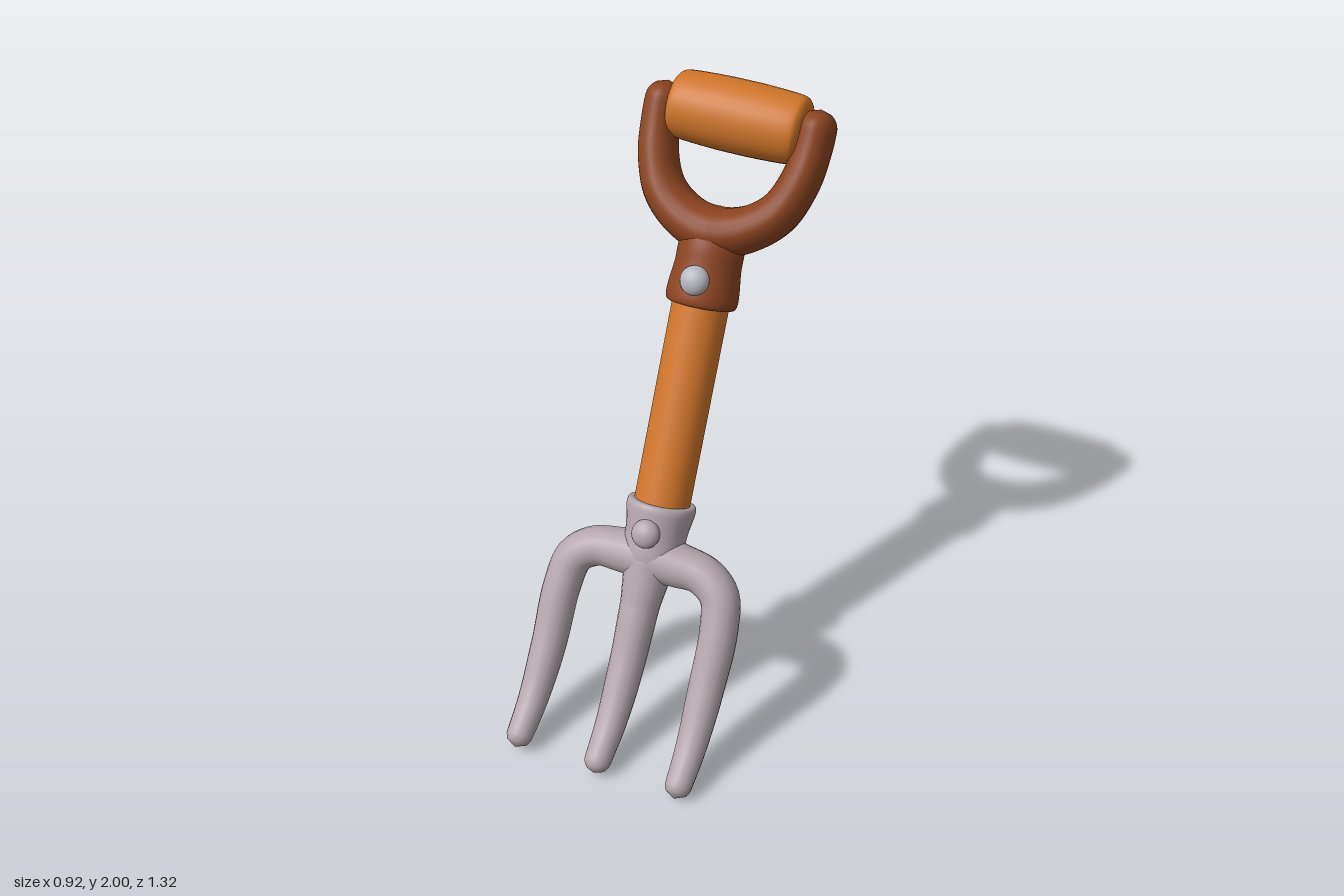
import * as THREE from 'three';
import { mergeVertices } from 'three/addons/utils/BufferGeometryUtils.js';

const mat = (name, color) => {
  const m = new THREE.MeshStandardMaterial({ color });
  m.name = name;
  return m;
};

// Round-ended tube with varying radius; depth stretches its section front to back
function limb(points, radii, depth = 1) {
  const curve = new THREE.CatmullRomCurve3(points.map(p => new THREE.Vector3(...p)));
  const segs = 110, sides = 20, length = curve.getLength();
  const geo = new THREE.TubeGeometry(curve, segs, 1, sides);
  const pos = geo.attributes.position, v = new THREE.Vector3();
  for (let i = 0; i <= segs; i++) {
    const t = i / segs, centre = curve.getPointAt(t);
    const f = t * (radii.length - 1), k = Math.min(Math.floor(f), radii.length - 2);
    let r = THREE.MathUtils.lerp(radii[k], radii[k + 1], f - k);
    const end = Math.min(t, 1 - t) * length;
    if (end < r) r *= Math.sqrt(Math.max(0, 1 - (1 - end / r) ** 2));
    for (let j = 0; j <= sides; j++) {
      const n = i * (sides + 1) + j;
      v.fromBufferAttribute(pos, n).sub(centre).multiplyScalar(r);
      v.z *= depth;
      v.add(centre);
      pos.setXYZ(n, v.x, v.y, v.z);
    }
  }
  geo.deleteAttribute('normal');
  geo.deleteAttribute('uv');
  const merged = mergeVertices(geo, 1e-5);
  merged.computeVertexNormals();
  return merged;
}

// Half a path, listed from the centre outwards, completed by its mirror image
const mirrored = half => [
  ...half.slice(1).reverse().map(([x, y, z]) => [-x, y, z]), ...half];

// Smooth turned part from a few [radius, height] points
function turned(profile) {
  const curve = new THREE.SplineCurve(profile.map(p => new THREE.Vector2(...p)));
  const pts = curve.getPoints(40).map(p => new THREE.Vector2(Math.max(0, p.x), p.y));
  return new THREE.LatheGeometry(pts, 32);
}

export function createModel() {
  const metal = mat('grey metal', 0xb3a6ac);
  const wood = mat('orange wood', 0xd0752a);
  const brown = mat('brown handle', 0x8b4420);
  const rivetMat = mat('rivet silver', 0xb6b6be);

  // Tool is built upright along y, then leaned into its pose
  const tool = new THREE.Group();
  tool.name = 'gardenFork';
  const add = (name, geo, material) => {
    const mesh = new THREE.Mesh(geo, material);
    mesh.name = name;
    tool.add(mesh);
    return mesh;
  };

  // Fork head: outer tines joined by a crossbar, and a middle tine
  const outer = mirrored([
    [0, -0.185, 0.01], [0.1, -0.19, 0.01], [0.19, -0.2, 0.012], [0.257, -0.25, 0.018],
    [0.281, -0.36, 0.026], [0.283, -0.56, 0.044], [0.285, -0.75, 0.092], [0.286, -0.9, 0.178]]);
  add('outerTines', limb(outer,
    [0.042, 0.05, 0.058, 0.062, 0.064, 0.068, 0.085, 0.068, 0.064, 0.062, 0.058, 0.05, 0.042], 1.05), metal);
  add('middleTine', limb([
    [0, -0.06, 0], [0, -0.2, 0.01], [0, -0.36, 0.026], [0, -0.56, 0.044], [0, -0.75, 0.092], [0, -0.9, 0.178]],
    [0.09, 0.085, 0.066, 0.061, 0.057, 0.05, 0.042], 1.05), metal);
  add('forkSocket', turned([
    [0, -0.3], [0.06, -0.27], [0.098, -0.19], [0.103, -0.1], [0.112, -0.04],
    [0.115, -0.012], [0.108, 0.003], [0.085, 0.003]]), metal);

  // Wooden shaft
  const shaft = add('shaft', new THREE.CylinderGeometry(0.093, 0.093, 0.78, 32), wood);
  shaft.position.y = 0.34;

  // Handle: collar, forked arms and cross grip
  add('handleCollar', turned([
    [0.085, 0.662], [0.108, 0.662], [0.117, 0.68], [0.116, 0.72], [0.108, 0.79],
    [0.106, 0.86], [0.085, 0.93], [0, 0.97]]), brown);
  const arms = mirrored([
    [0, 0.9, 0], [0.1, 0.925, -0.002], [0.19, 0.995, -0.006], [0.238, 1.1, -0.012],
    [0.255, 1.21, -0.02], [0.256, 1.335, -0.025]]);
  add('handleArms', limb(arms,
    [0.06, 0.061, 0.065, 0.073, 0.082, 0.073, 0.065, 0.061, 0.06], 1.35), brown);
  const grip = add('grip', turned([
    [0, -0.222], [0.07, -0.221], [0.098, -0.212], [0.11, -0.185], [0.116, -0.08],
    [0.117, 0], [0.116, 0.08], [0.11, 0.185], [0.098, 0.212], [0.07, 0.221], [0, 0.222]]), wood);
  grip.rotation.z = Math.PI / 2 - 0.03;
  grip.position.set(0, 1.265, -0.027);

  // Rivets, front and back
  for (const side of [1, -1]) {
    for (const [name, y, material] of [['forkRivet', -0.09, metal], ['handleRivet', 0.745, rivetMat]]) {
      const rivet = add(name, new THREE.SphereGeometry(0.048, 24, 16), material);
      rivet.position.set(0, y, side * 0.11);
      rivet.scale.z = 0.75;
    }
  }

  // Lean back and turn
  const up = new THREE.Vector3(0.117, 0.897, -0.426).normalize();
  const front = new THREE.Vector3(0.973, -0.021, 0.222).cross(up).normalize();
  const across = new THREE.Vector3().crossVectors(up, front);
  tool.quaternion.setFromRotationMatrix(new THREE.Matrix4().makeBasis(across, up, front));
  tool.position.set(0, 0.76, 0.04);

  const model = new THREE.Group();
  model.name = 'handFork';
  model.add(tool);
  return model;
}
